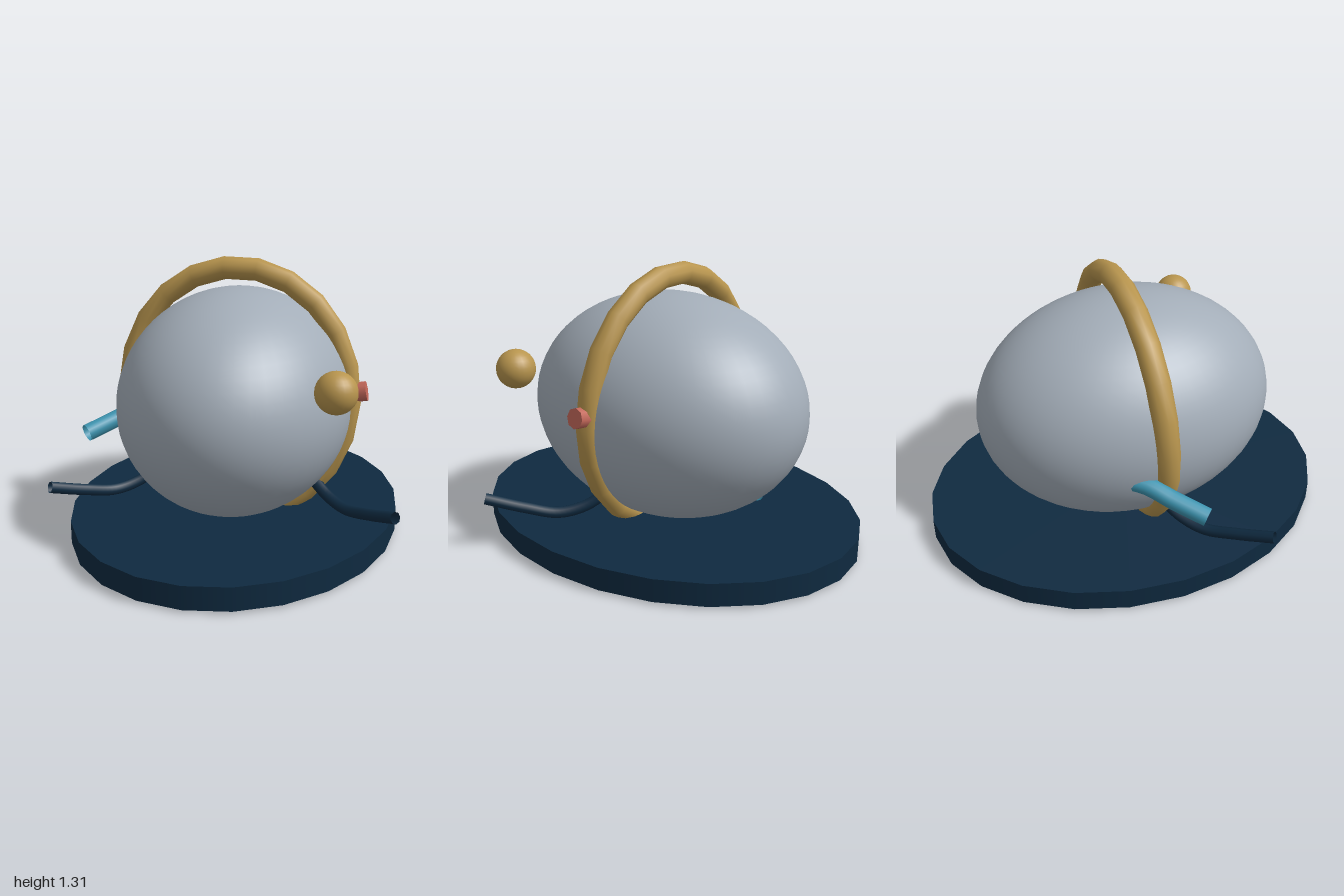
import * as THREE from 'three';

const material = (name, color, side = THREE.FrontSide) => {
  const m = new THREE.MeshStandardMaterial({ color, side });
  m.name = name;
  return m;
};

export function createModel() {
  const group = new THREE.Group();
  const navy = material('navy', 0x0f2a40, THREE.DoubleSide);
  const grey = material('grey', 0xa3adb8);
  const gold = material('gold', 0xb8954e);
  const cyan = material('cyan', 0x3c94b0, THREE.DoubleSide);
  const red = material('red', 0xc4685a);

  const add = (name, geometry, mat, x = 0, y = 0, z = 0) => {
    const mesh = new THREE.Mesh(geometry, mat);
    mesh.name = name;
    mesh.position.set(x, y, z);
    group.add(mesh);
    return mesh;
  };
  const tube = (points, radius, segments, sides) => new THREE.TubeGeometry(
    new THREE.CatmullRomCurve3(points.map(p => new THREE.Vector3(...p))),
    segments, radius, sides);

  // Oval base plate
  add('base', new THREE.CylinderGeometry(1, 1, 0.108, 24), navy, 0, 0.066, 0)
    .scale.set(0.79, 1, 1);

  // Egg-shaped body lying along z
  add('body', new THREE.SphereGeometry(1, 48, 32), grey, 0, 0.625, 0)
    .scale.set(0.565, 0.545, 0.725);

  // Slightly leaning hoop around the body
  const hoop = new THREE.TorusGeometry(0.607, 0.054, 10, 22);
  hoop.rotateZ(-0.025);
  hoop.scale(0.913, 1, 1.06);
  add('hoop', hoop, gold, 0, 0.657, 0).rotation.x = -0.05;

  // Floating ball
  add('ball', new THREE.SphereGeometry(0.094, 24, 16), gold, 0.542, 0.82, 0.49);

  // Small knob on the hoop
  const knob = new THREE.CylinderGeometry(0.048, 0.048, 0.08, 8);
  add('knob', knob, red, 0.59, 0.695, 0).rotation.z = -Math.PI / 2 + 0.18;

  // Hose running through the body, open at its outer end
  add('hose', tube([
    [0, 0.28, -0.52], [-0.32, 0.5, -0.38], [-0.53, 0.52, -0.11],
    [-0.635, 0.475, 0], [-0.743, 0.43, 0.117],
  ], 0.043, 32, 12), cyan);

  // Mirrored bent arms
  for (const [name, s] of [['leftArm', 1], ['rightArm', -1]]) {
    add(name, tube([
      [s * 0.4, 0.252, 0.06], [s * 0.475, 0.2, 0.115], [s * 0.57, 0.175, 0.195],
      [s * 0.68, 0.205, 0.305], [s * 0.81, 0.255, 0.435],
    ], 0.028, 24, 8), navy);
  }

  return group;
}
